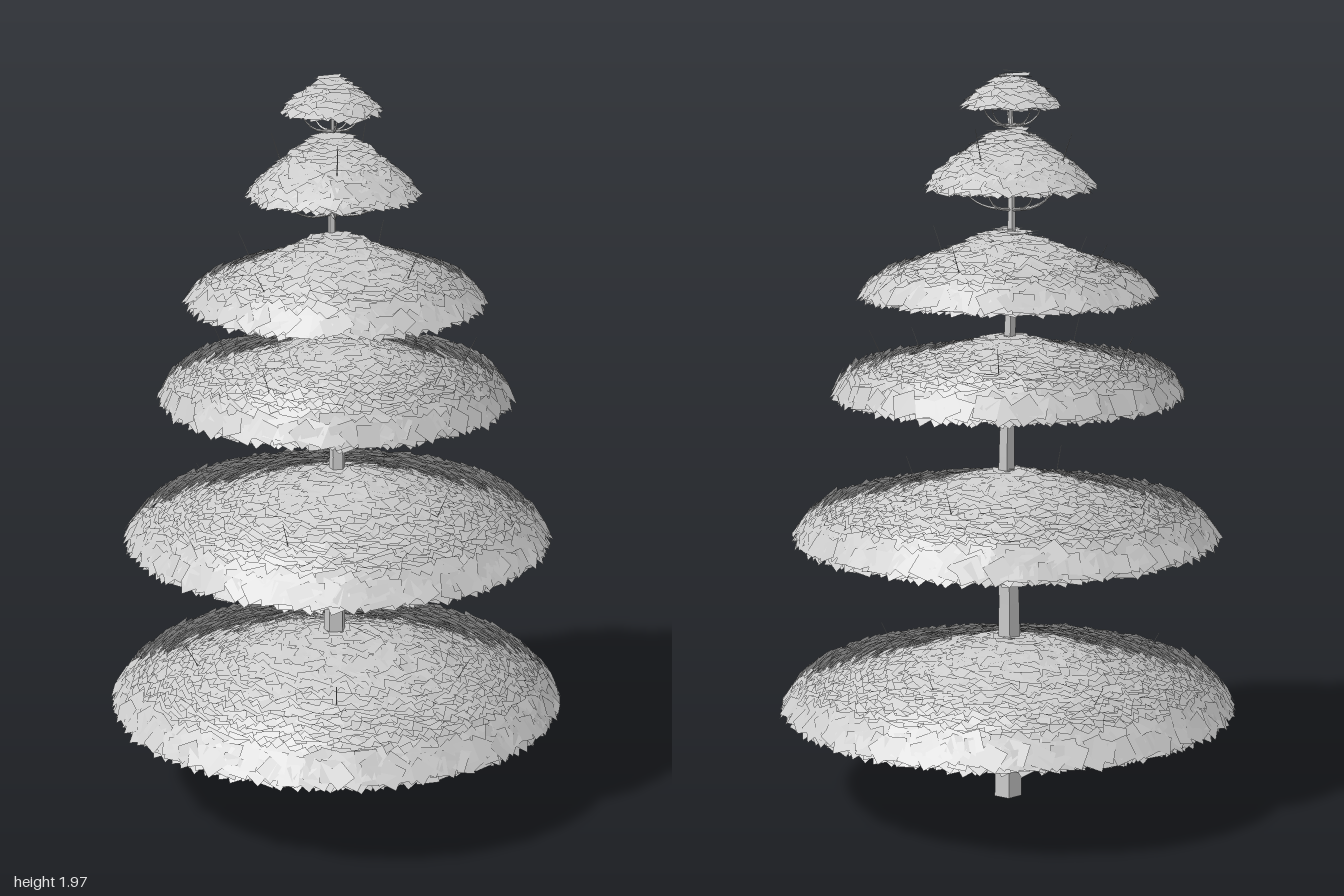
import * as THREE from 'three';
import { mergeGeometries } from 'three/addons/utils/BufferGeometryUtils.js';

// small seeded random generator
let seed = 7;
const rand = () => {
  seed = (seed * 16807) % 2147483647;
  return seed / 2147483647;
};
const jitter = (a) => (rand() * 2 - 1) * a;

// foliage tiers, lowest first; "hang" is how far the branches start below the leaves,
// "lean" how steeply the leaves stand at the rim (0 lying flat, 1 upright)
const TIERS = [
  { x: 0.01, z: 0, radius: 0.622, top: 0.455, shoulder: 0.325, bottom: 0.25, hang: -0.06, twigs: 10, lean: 0.84 },
  { x: 0.015, z: 0, radius: 0.58, top: 0.915, shoulder: 0.795, bottom: 0.72, hang: 0, twigs: 8, lean: 0.84 },
  { x: 0.005, z: -0.005, radius: 0.48, top: 1.28, shoulder: 1.18, bottom: 1.11, hang: 0.045, twigs: 9, lean: 0.92 },
  { x: 0.01, z: 0, radius: 0.4, top: 1.565, shoulder: 1.435, bottom: 1.37, hang: -0.05, twigs: 8, lean: 0.8 },
  { x: 0.005, z: 0.005, radius: 0.228, top: 1.84, shoulder: 1.725, bottom: 1.65, hang: 0.04, twigs: 6, lean: 0.75 },
  { x: -0.005, z: -0.005, radius: 0.128, top: 1.975, shoulder: 1.93, bottom: 1.86, hang: 0.03, twigs: 5, lean: 0.65 },
];
const LEAF = 0.058;

// half outline of a tier: sloping roof, short rim, flat underside
function outline({ radius: r, top, shoulder, bottom }) {
  return [
    [0, top],
    [r - 0.05, shoulder - 0.005],
    [r - 0.018, bottom + 0.036],
    [r - 0.04, bottom + 0.027],
    [0, bottom + 0.022],
  ];
}

// square leaves spread evenly over the outline swept round the trunk;
// all face up and outwards like shingles on a dome, also on the underside
function foliage(tier) {
  const points = outline(tier);
  const leaves = [];
  const forward = new THREE.Vector3(0, 0, 1);
  const leaf = new THREE.Object3D();
  let turn = 0;
  for (let s = 0; s < points.length - 1; s++) {
    const [r0, y0] = points[s];
    const [r1, y1] = points[s + 1];
    const area = Math.PI * (r0 + r1) * Math.hypot(r1 - r0, y1 - y0);
    const count = Math.ceil(area / 0.00055);
    for (let i = 0; i < count; i++) {
      // equal area steps along the segment, golden angle around
      const r = Math.sqrt(r0 * r0 + ((r1 * r1 - r0 * r0) * (i + 0.5)) / count);
      const y = y0 + ((y1 - y0) * (r - r0)) / (r1 - r0);
      const a = (turn += 2.39996);
      const out = (tier.lean * r) / tier.radius;
      const normal = new THREE.Vector3(
        out * Math.cos(a) + jitter(0.09),
        Math.sqrt(1 - out * out) + jitter(0.09),
        out * Math.sin(a) + jitter(0.09),
      ).normalize();
      leaf.position.set(r * Math.cos(a), y + jitter(0.004), r * Math.sin(a));
      leaf.quaternion.setFromUnitVectors(forward, normal);
      leaf.rotateZ(rand() * Math.PI);
      leaf.updateMatrix();
      const size = LEAF * (0.85 + rand() * 0.25);
      leaves.push(new THREE.PlaneGeometry(size, size).applyMatrix4(leaf.matrix));
    }
  }
  return mergeGeometries(leaves).translate(tier.x, 0, tier.z);
}

// trunk bend, shared by the trunk and the branch roots
const bend = new THREE.CatmullRomCurve3([
  new THREE.Vector3(0.01, 0, 0),
  new THREE.Vector3(0.006, 0.5, 0),
  new THREE.Vector3(0.008, 1.0, -0.01),
  new THREE.Vector3(-0.01, 1.37, -0.015),
  new THREE.Vector3(0, 1.9, 0),
]);
const trunkAt = (y) => bend.getPoint(Math.min(y / 1.9, 1));

// tapered five-sided trunk following the bend
function trunkGeometry() {
  const g = new THREE.CylinderGeometry(0.005, 0.039, 1.9, 5, 14).translate(0, 0.95, 0);
  const p = g.attributes.position;
  for (let i = 0; i < p.count; i++) {
    const c = trunkAt(p.getY(i));
    p.setX(i, p.getX(i) + c.x);
    p.setZ(i, p.getZ(i) + c.z);
  }
  g.computeVertexNormals();
  return g;
}

// thin tube narrowing to a point
function taperedTube(points, radius) {
  const curve = new THREE.CatmullRomCurve3(points);
  const segments = 12;
  const g = new THREE.TubeGeometry(curve, segments, radius, 4);
  const p = g.attributes.position;
  const v = new THREE.Vector3();
  for (let i = 0; i < p.count; i++) {
    const t = Math.floor(i / 5) / segments;
    v.fromBufferAttribute(p, i).lerp(curve.getPointAt(t), t * 0.85);
    p.setXYZ(i, v.x, v.y, v.z);
  }
  return g;
}

// branches leave the trunk under the leaves and turn up; every other tip pokes through the roof
function branches(tier) {
  const { radius: r, top, shoulder, bottom, hang, twigs } = tier;
  const parts = [];
  for (let i = 0; i < twigs; i++) {
    const a = ((i + jitter(0.3)) / twigs) * Math.PI * 2 + top * 5;
    const at = (d, y) => new THREE.Vector3(tier.x + d * Math.cos(a), y, tier.z + d * Math.sin(a));
    const root = trunkAt(bottom - hang);
    root.y = bottom - hang;
    const reach = r * (0.5 + rand() * 0.25);
    const roof = top + ((shoulder - top) * reach) / (r - 0.05);
    const pokes = i % 2 === 0 && r > 0.2;
    parts.push(taperedTube([
      root,
      at(reach * 0.5, bottom - hang * 0.85),
      at(reach * 0.85, bottom + 0.01 - hang * 0.4),
      pokes ? at(reach + 0.05, roof + 0.05 + rand() * 0.03) : at(reach, roof - 0.03),
    ], 0.0045));
  }
  return mergeGeometries(parts);
}

export function createModel() {
  const group = new THREE.Group();
  group.name = 'tieredTree';
  const bark = new THREE.MeshStandardMaterial({ color: 0xcccccc, flatShading: true });
  const leafMaterial = new THREE.MeshStandardMaterial({ color: 0xcccccc, side: THREE.DoubleSide });
  const add = (name, geometry, material) => {
    const mesh = new THREE.Mesh(geometry, material);
    mesh.name = name;
    group.add(mesh);
  };

  add('trunk', trunkGeometry(), bark);
  TIERS.forEach((tier, i) => {
    add(`foliageTier${i + 1}`, foliage(tier), leafMaterial);
    add(`branches${i + 1}`, branches(tier), bark);
  });
  return group;
}
